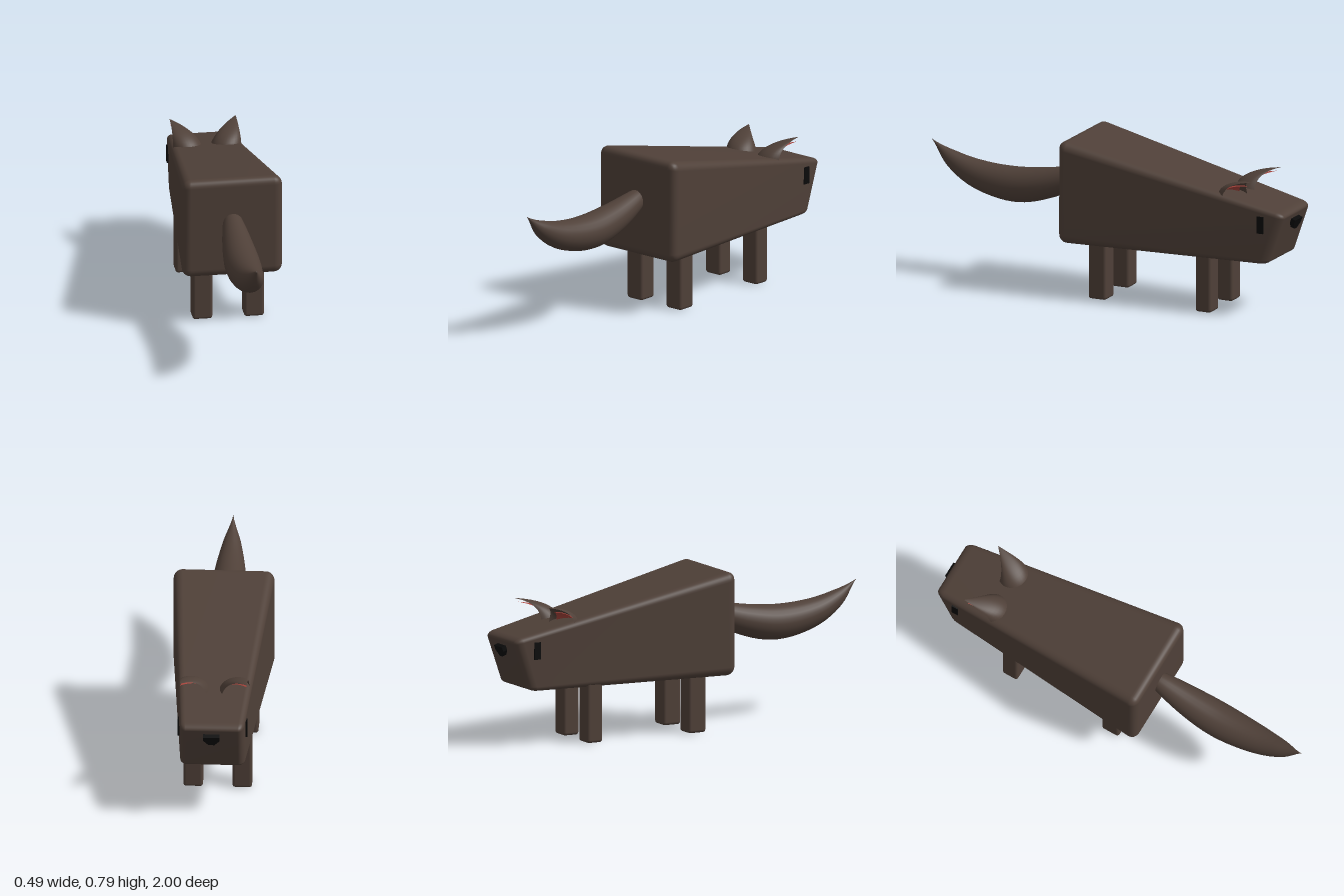
import * as THREE from 'three';
import { mergeVertices } from 'three/addons/utils/BufferGeometryUtils.js';
import { RoundedBoxGeometry } from 'three/addons/geometries/RoundedBoxGeometry.js';

const mat = (color, side = THREE.FrontSide) => {
  const m = new THREE.MeshStandardMaterial({ side });
  m.color.set(color);
  return m;
};

const V = (x, y, z) => new THREE.Vector3(x, y, z);

// Smooth surface from a rule f(u, v) -> Vector3, with u and v in 0..1
function surface(f, nu, nv) {
  const pos = [], idx = [];
  for (let j = 0; j <= nv; j++)
    for (let i = 0; i <= nu; i++) pos.push(...f(i / nu, j / nv).toArray());
  for (let j = 0; j < nv; j++)
    for (let i = 0; i < nu; i++) {
      const a = j * (nu + 1) + i, b = a + 1, c = a + nu + 1, d = c + 1;
      idx.push(a, b, d, a, d, c);
    }
  const g = new THREE.BufferGeometry();
  g.setAttribute('position', new THREE.Float32BufferAttribute(pos, 3));
  g.setIndex(idx);
  const merged = mergeVertices(g, 1e-5);
  merged.computeVertexNormals();
  return merged;
}

// Rounded box, narrowed and lowered towards the muzzle
function bodyGeometry() {
  const w = 0.5, h = 0.52, d = 1.19;
  const g = new RoundedBoxGeometry(w, h, d, 4, 0.045);
  g.deleteAttribute('normal');
  g.deleteAttribute('uv');
  const m = mergeVertices(g, 1e-5), p = m.attributes.position;
  for (let i = 0; i < p.count; i++) {
    const t = 0.5 - p.getZ(i) / d, v = p.getY(i) / h + 0.5;
    p.setXYZ(i,
      p.getX(i) * (1 - 0.38 * t),
      0.28 + v * (0.52 - 0.26 * t),
      0.2 - d * t + 0.09 * t * (1 - v));
  }
  m.computeVertexNormals();
  return m;
}

// Bushy crescent tail: rings of changing radius along a curve
function tailGeometry() {
  const path = new THREE.CatmullRomCurve3([
    V(0, 0.62, 0.08), V(0, 0.565, 0.2), V(0, 0.505, 0.38), V(0, 0.48, 0.55),
    V(0, 0.508, 0.75), V(0, 0.57, 0.89), V(0, 0.655, 1)]);
  const radii = new THREE.SplineCurve([[0, 0.01], [0.13, 0.05], [0.33, 0.078],
    [0.5, 0.087], [0.7, 0.071], [0.86, 0.042], [1, 0]].map(a => new THREE.Vector2(...a)));
  return surface((u, v) => {
    const c = path.getPoint(v), t = path.getTangent(v);
    const r = Math.max(0, radii.getPoint(v).y), a = u * Math.PI * 2;
    const up = V(0, t.z, -t.y);
    return c.addScaledVector(up, r * Math.sin(a)).add(V(-r * Math.cos(a), 0, 0));
  }, 24, 36);
}

// Hooded ear shell, open towards the muzzle; size and spread shrink it for the lining
function earGeometry(side, radius, spread, drop) {
  const spine = new THREE.QuadraticBezierCurve3(
    V(0.093, 0.56, -0.69), V(0.1, 0.67 - drop, -0.665), V(0.163, 0.69 - drop, -0.818 + drop));
  return surface((u, v) => {
    const a = (u - 0.5) * 2 * spread + 2.09;
    const r = radius * (1 - v ** 1.7), c = spine.getPoint(v);
    return V(side * (c.x + r * Math.cos(a)), c.y, c.z + r * Math.sin(a));
  }, 16, 14);
}

export function createModel() {
  const group = new THREE.Group();
  const fur = mat(0x4f4038), furThin = mat(0x4f4038, THREE.DoubleSide);
  const black = mat(0x0a0a0a), red = mat(0xa8443c, THREE.DoubleSide);
  const add = (name, geometry, material, x = 0, y = 0, z = 0) => {
    const m = new THREE.Mesh(geometry, material);
    m.name = name;
    m.position.set(x, y, z);
    group.add(m);
    return m;
  };

  add('body', bodyGeometry(), fur);
  add('tail', tailGeometry(), furThin);

  // Legs
  const hind = new RoundedBoxGeometry(0.098, 0.34, 0.096, 3, 0.014);
  const fore = new RoundedBoxGeometry(0.096, 0.34, 0.085, 3, 0.014);
  add('leftHindLeg', hind, fur, 0.125, 0.172, 0.017);
  add('rightHindLeg', hind, fur, -0.129, 0.172, 0.017);
  add('leftForeLeg', fore, fur, 0.111, 0.172, -0.552);
  add('rightForeLeg', fore, fur, -0.129, 0.172, -0.552);

  // Ears and eyes, mirrored
  for (const [name, s] of [['left', 1], ['right', -1]]) {
    add(name + 'Ear', earGeometry(s, 0.08, 1.75, 0), furThin);
    add(name + 'EarLining', earGeometry(s, 0.064, 1.2, 0.02), red);
    add(name + 'Eye', new THREE.BoxGeometry(0.02, 0.085, 0.034), black, s * 0.16, 0.483, -0.868);
  }

  // Nose: flat top, blunt point below, lying on the sloped muzzle
  const shape = new THREE.Shape([[-0.04, 0.025], [0.04, 0.025], [0.04, 0.002],
    [0.014, -0.028], [-0.014, -0.028], [-0.04, 0.002]].map(a => new THREE.Vector2(...a)));
  const noseGeo = new THREE.ExtrudeGeometry(shape, { depth: 0.024, bevelEnabled: false });
  noseGeo.translate(0, 0, -0.012);
  const nose = add('nose', noseGeo, black, 0, 0.472, -0.978);
  nose.rotation.x = 0.35 * -1;

  return group;
}
